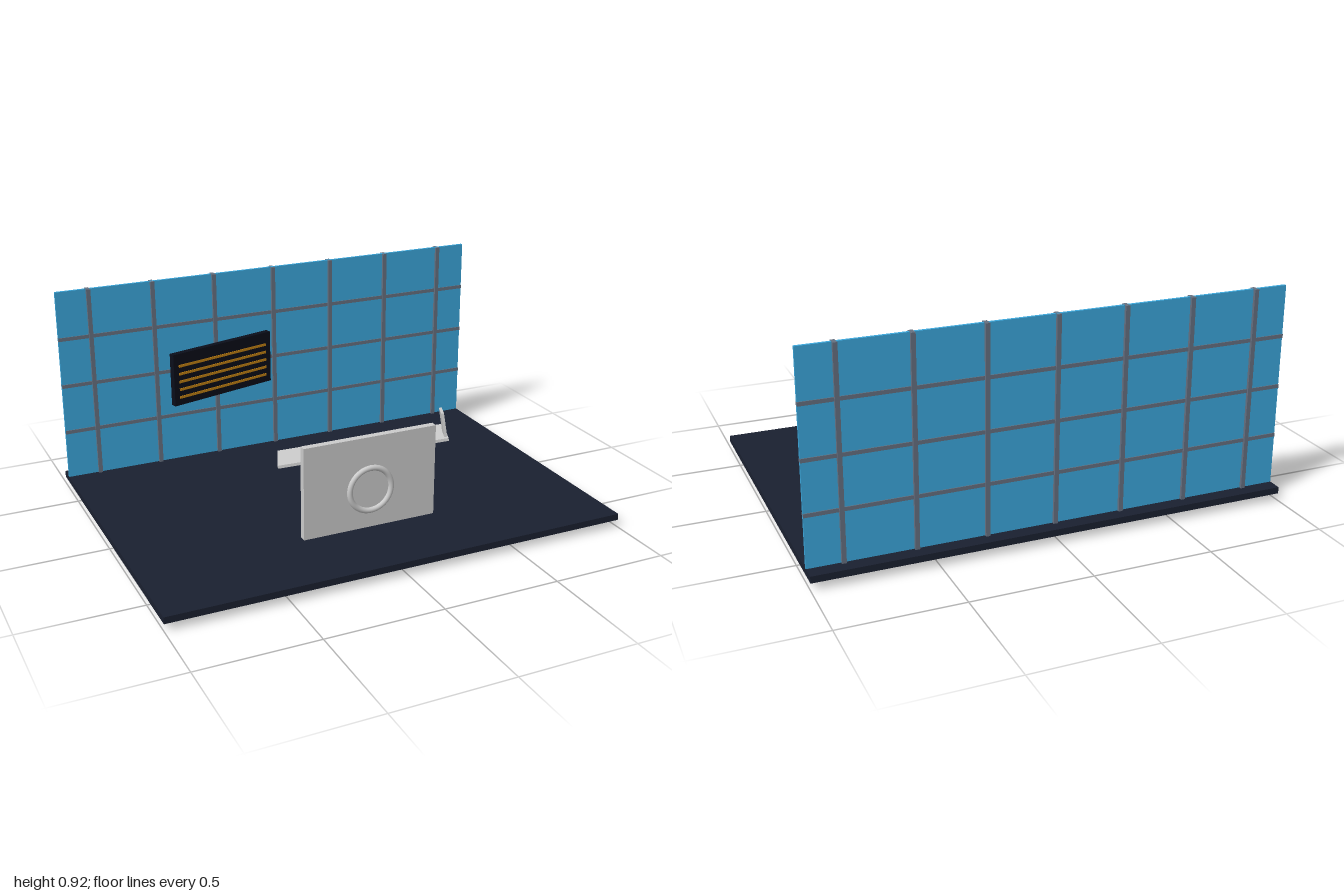
import * as THREE from 'three';

const material = (color) => new THREE.MeshStandardMaterial({ color });

export function createModel() {
  const model = new THREE.Group();
  const grey = material(0xcccccc);
  const floorMat = material(0x1a2030);
  const glassMat = material(0x3ba7dc);
  const frameMat = material(0x667080);
  const screenMat = material(0x0b0e1a);
  const amberMat = material(0xd08a14);

  const add = (parent, name, geometry, mat, x, y, z) => {
    const mesh = new THREE.Mesh(geometry, mat);
    mesh.name = name;
    mesh.position.set(x, y, z);
    parent.add(mesh);
    return mesh;
  };
  const box = (parent, name, size, mat, x, y, z) =>
    add(parent, name, new THREE.BoxGeometry(...size), mat, x, y, z);
  const group = (name, x = 0, y = 0, z = 0) => {
    const g = new THREE.Group();
    g.name = name;
    g.position.set(x, y, z);
    model.add(g);
    return g;
  };

  // Floor slab
  box(model, 'floor', [2, 0.028, 1.424], floorMat, 0, 0.046, 0);

  // Window wall with a grid of bars
  const wall = group('windowWall', 0, 0, -0.645);
  box(wall, 'glass', [2, 0.858, 0.012], glassMat, 0, 0.488, 0);
  for (let i = -3; i <= 3; i++) {
    box(wall, 'mullion', [0.018, 0.858, 0.036], frameMat, i * 2 / 7, 0.488, 0);
  }
  for (let i = 1; i <= 3; i++) {
    box(wall, 'transom', [2, 0.016, 0.02], frameMat, 0, 0.06 + i * 0.215, 0);
  }

  // Hanging display board with glowing lines
  const board = group('displayBoard', -0.36, 0.575, -0.358);
  board.rotation.y = 0.26;
  box(board, 'boardPanel', [0.51, 0.23, 0.027], screenMat, 0, 0, 0);
  for (let i = -2; i <= 2; i++) {
    box(board, 'boardLine', [0.46, 0.011, 0.004], amberMat, 0, -0.01 + i * 0.035, 0.0145);
  }

  // Upright desk panel with a ring on its front
  const desk = group('deskPanel', 0, 0.23, 0.36);
  box(desk, 'panel', [0.595, 0.46, 0.03], grey, 0, 0, 0);
  add(desk, 'ring', new THREE.TorusGeometry(0.094, 0.0125, 16, 64), grey, 0, 0, 0.015);

  // Tilted plank with an end plate above and a roller below
  const ramp = group('tiltedPlank', 0.255, 0.147, -0.22);
  ramp.rotation.set(-0.054, -0.386, 0.154, 'YZX');
  box(ramp, 'plank', [0.78, 0.014, 0.2], grey, 0, 0, 0);
  box(ramp, 'endPlate', [0.013, 0.115, 0.085], grey, 0.38, 0.062, 0.037);
  const roller = add(ramp, 'roller', new THREE.CylinderGeometry(0.046, 0.046, 0.26, 32), grey, 0.09, -0.0745, 0.034);
  roller.rotation.z = Math.PI / 2;

  return model;
}
